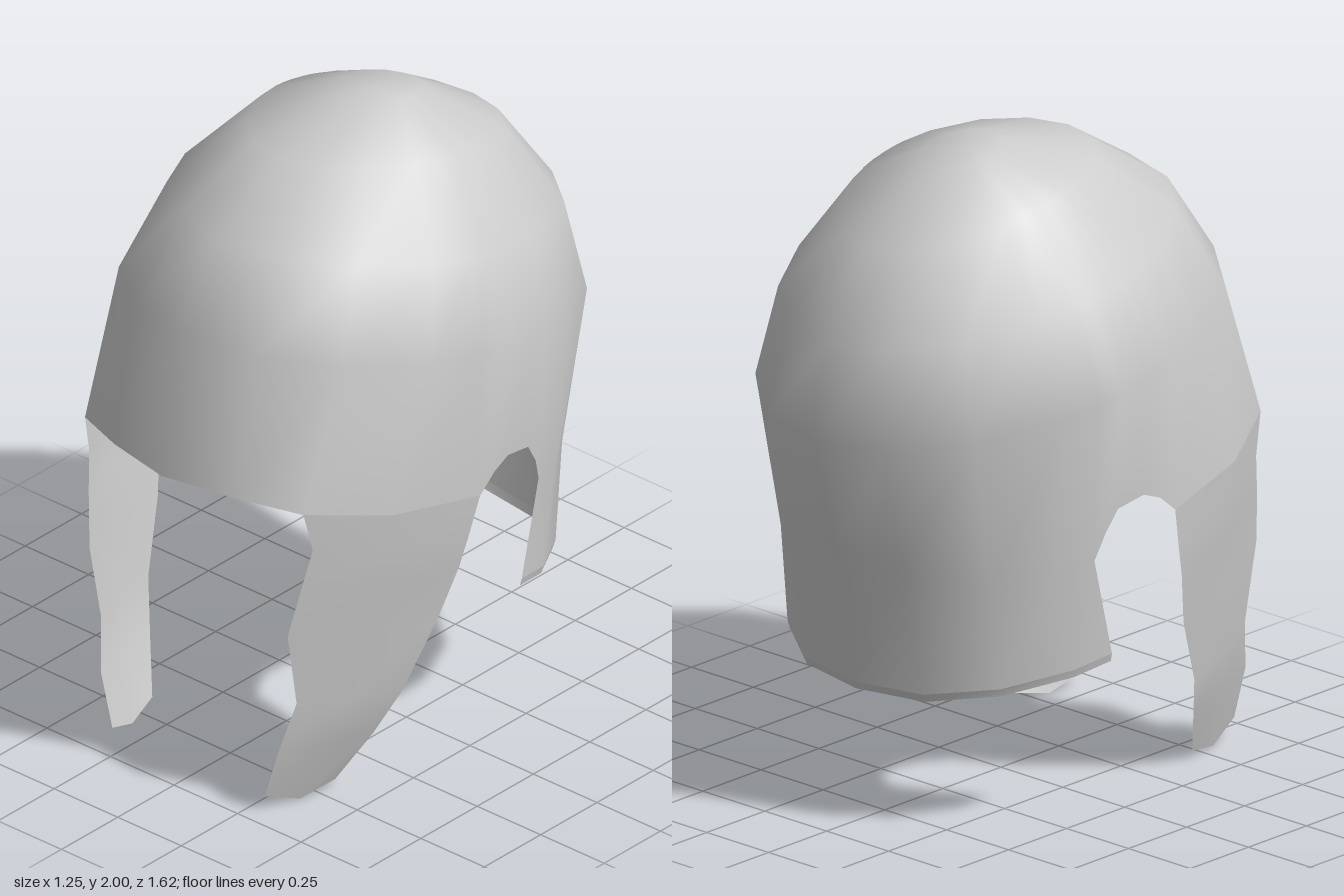
import * as THREE from 'three';
import { mergeVertices } from 'three/addons/utils/BufferGeometryUtils.js';

const material = new THREE.MeshStandardMaterial({ color: 0xcccccc, side: THREE.DoubleSide });

// Skins grids of points (rows run downward, columns run towards +x) into one welded smooth mesh.
function skin(name, ...grids) {
  const pos = [];
  const tri = (...pts) => pts.forEach((p) => pos.push(...p));
  const same = (p, q) => p.every((v, k) => v === q[k]);
  for (const rows of grids) {
    for (let i = 0; i < rows.length - 1; i++) {
      for (let j = 0; j < rows[i].length - 1; j++) {
        const a = rows[i][j], b = rows[i][j + 1], c = rows[i + 1][j], d = rows[i + 1][j + 1];
        if (!same(a, b)) tri(a, c, b);
        tri(b, c, d);
      }
    }
  }
  let geo = new THREE.BufferGeometry();
  geo.setAttribute('position', new THREE.Float32BufferAttribute(pos, 3));
  geo = mergeVertices(geo, 1e-4);
  geo.computeVertexNormals();
  const mesh = new THREE.Mesh(geo, material);
  mesh.name = name;
  return mesh;
}

const flip = ([x, y, z]) => [-x, y, z];
// Left half running front to back -> full loop running back, right, front, left, back.
const aroundFront = (half) => [...half.slice(1).reverse().map(flip), ...half];
// Left half running side to back -> strip running left, back, right.
const aroundBack = (half) => [...half, ...half.slice(0, -1).reverse().map(flip)];

export function createModel() {
  const helmet = new THREE.Group();
  helmet.name = 'helmet';

  // Column angles from the front (0) to the back (180); extra ones shape the ear arch
  const angles = [0, 22.5, 45, 67.5, 80, 85, 90, 97, 100, 103, 112.5, 135, 157.5, 180];

  // Tilted dome rings: width, depth, centre height, centre z, tilt, side lift
  const rings = [
    [0, 0, 1.995, -0.13, 0, 0],
    [0.11, 0.15, 1.975, -0.17, 0.025, 0.012],
    [0.33, 0.435, 1.86, -0.145, 0.08, 0.03],
    [0.53, 0.65, 1.655, -0.1, 0.125, 0],
    [0.625, 0.765, 1.385, -0.045, 0.145, 0],
  ].map(([w, d, y, z, tilt, lift]) => angles.map((deg) => {
    const t = THREE.MathUtils.degToRad(deg), s = deg === 180 ? 0 : Math.sin(t), c = Math.cos(t);
    return [w * s, y + tilt * c + lift * s * s, z + d * c];
  }));

  // Lower edge of the dome: brow, cheek joint, ear arch, nape
  const edge = [
    [0, 1.08, 0.805], [0.24, 1.07, 0.745], [0.43, 1.05, 0.66], [0.56, 0.99, 0.41],
    [0.62, 0.94, 0.09], [0.62, 0.995, 0.025], [0.615, 1.02, -0.04], [0.605, 1.0, -0.14],
    [0.595, 0.93, -0.185], [0.58, 0.85, -0.215],
    [0.535, 0.82, -0.34], [0.42, 0.79, -0.5], [0.22, 0.85, -0.655], [0, 0.9, -0.715],
  ];

  // Neck guard flaring out to its lower corners
  const hem = [
    [0.58, 0.54, -0.14], [0.55, 0.515, -0.27], [0.43, 0.475, -0.46],
    [0.24, 0.445, -0.59], [0, 0.438, -0.63],
  ];
  helmet.add(skin('domeAndNeckGuard',
    [...rings, edge].map(aroundFront),
    [edge.slice(9), hem].map(aroundBack)));

  // Narrow lip along the bottom of the neck guard
  const lip = hem.map(([x, y, z]) => [x * 0.99, y - 0.025, z * 0.985]);
  helmet.add(skin('neckLip', [hem, lip].map(aroundBack)));

  // Cheek guard: front edge and rear edge, row by row downward
  const cheekRows = [
    [[0.43, 1.05, 0.66], [0.62, 0.94, 0.09]],
    [[0.44, 0.92, 0.63], [0.605, 0.82, 0.12]],
    [[0.42, 0.8, 0.655], [0.59, 0.71, 0.15]],
    [[0.39, 0.63, 0.685], [0.55, 0.54, 0.2]],
    [[0.385, 0.38, 0.64], [0.5, 0.32, 0.3]],
    [[0.35, 0.22, 0.68], [0.44, 0.18, 0.36]],
    [[0.3, 0.05, 0.685], [0.36, 0.025, 0.44]],
  ].map(([f, r], i, all) => {
    const bulge = 0.035 * (1 - i / (all.length - 1));
    const drop = i === all.length - 1 ? 0.0375 : 0;
    const mid = [(f[0] + r[0]) / 2 + bulge, (f[1] + r[1]) / 2 - drop, (f[2] + r[2]) / 2 + bulge];
    return [f, i === 0 ? edge[3] : mid, r];
  });
  helmet.add(skin('leftCheekGuard', cheekRows));
  helmet.add(skin('rightCheekGuard', cheekRows.map((row) => row.map(flip).reverse())));

  return helmet;
}
